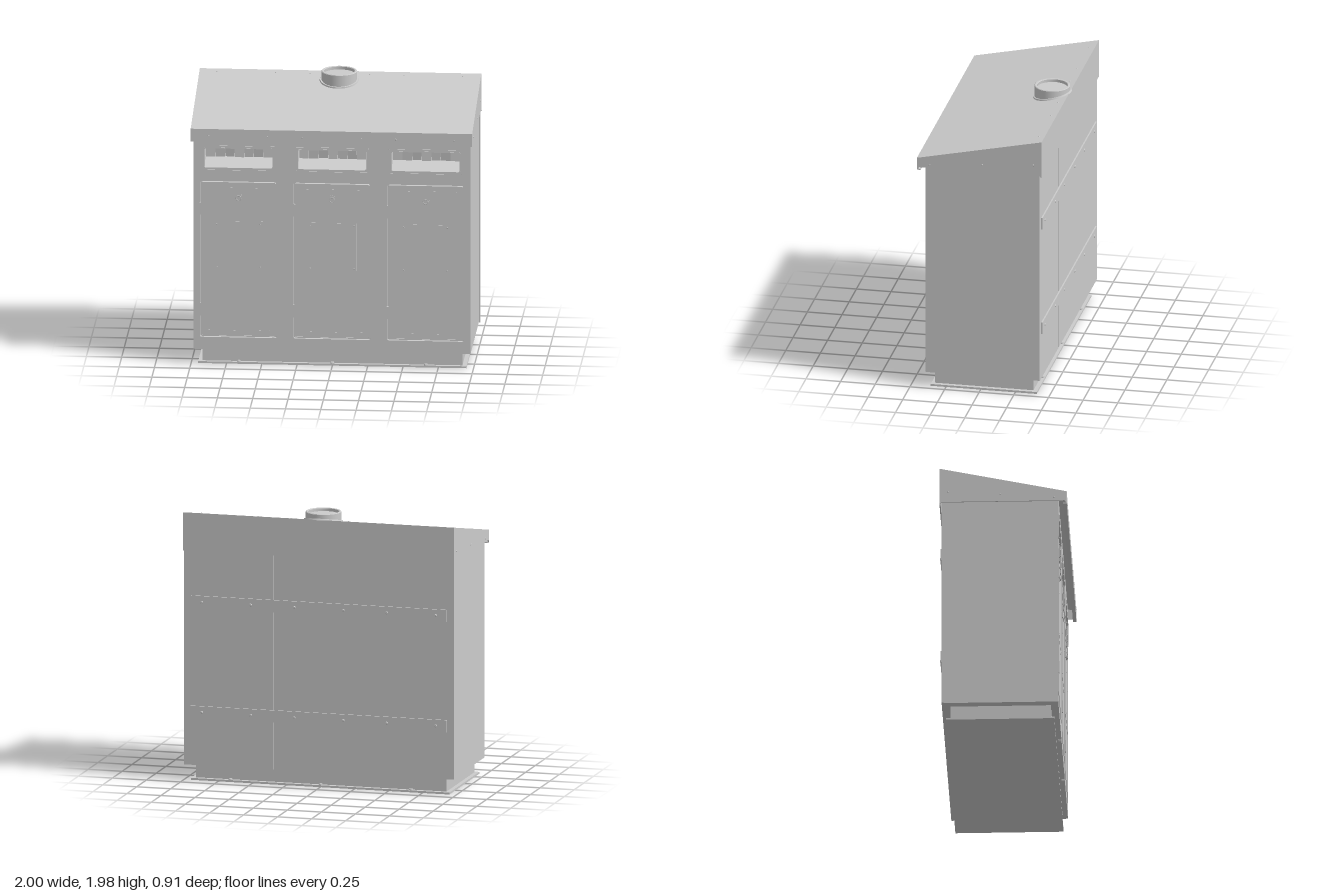
import * as THREE from 'three';

const mat = new THREE.MeshStandardMaterial({ color: 0xcccccc, side: THREE.DoubleSide });

function add(parent, name, geo, x = 0, y = 0, z = 0) {
  const m = new THREE.Mesh(geo, mat);
  m.name = name;
  m.position.set(x, y, z);
  parent.add(m);
  return m;
}

// Box given by its minimum and maximum on each axis
function slab(parent, name, x0, x1, y0, y1, z0, z1) {
  return add(parent, name, new THREE.BoxGeometry(x1 - x0, y1 - y0, z1 - z0),
    (x0 + x1) / 2, (y0 + y1) / 2, (z0 + z1) / 2);
}

// Rounded rectangle outline, also used for holes
function rect(x0, x1, y0, y1, r = 0.012, Type = THREE.Shape) {
  const s = new Type();
  s.moveTo(x0 + r, y0).lineTo(x1 - r, y0).quadraticCurveTo(x1, y0, x1, y0 + r);
  s.lineTo(x1, y1 - r).quadraticCurveTo(x1, y1, x1 - r, y1);
  s.lineTo(x0 + r, y1).quadraticCurveTo(x0, y1, x0, y1 - r);
  s.lineTo(x0, y0 + r).quadraticCurveTo(x0, y0, x0 + r, y0);
  return s;
}

function plate(parent, name, shape, holes, z, depth) {
  shape.holes.push(...holes);
  return add(parent, name, new THREE.ExtrudeGeometry(shape, { depth, bevelEnabled: false, curveSegments: 4 }), 0, 0, z);
}

const ring = (x0, x1, y0, y1, t) => [rect(x0, x1, y0, y1), [rect(x0 + t, x1 - t, y0 + t, y1 - t, 0.008, THREE.Path)]];

// Profile drawn in (z, y) and extruded along x, centred on x = 0
function profile(points, width) {
  const s = new THREE.Shape(points.map(p => new THREE.Vector2(...p)));
  const g = new THREE.ExtrudeGeometry(s, { depth: width, bevelEnabled: false });
  return g.translate(0, 0, -width / 2).rotateY(-Math.PI / 2);
}

// Low domed rivet whose axis points along dir
function rivet(parent, x, y, z, dir, r = 0.008, h = 0.005) {
  const m = add(parent, 'rivet', new THREE.CylinderGeometry(r * 0.6, r, h, 10), x, y, z);
  m.quaternion.setFromUnitVectors(new THREE.Vector3(0, 1, 0), new THREE.Vector3(...dir).normalize());
}

function compartment(cx) {
  const g = new THREE.Group();
  g.name = 'compartment';
  g.position.x = cx;

  // Front sheet with the door and slot openings
  plate(g, 'frontPanel', rect(-0.3175, 0.3175, 0.112, 1.72), [
    rect(-0.272, 0.272, 0.202, 1.348, 0.014, THREE.Path),
    rect(-0.24, 0.24, 1.447, 1.587, 0.01, THREE.Path),
  ], 0.365, 0.025);

  // Door with raised rim and a shallow bead
  plate(g, 'door', rect(-0.265, 0.265, 0.209, 1.341), [], 0.37, 0.019);
  plate(g, 'doorRim', ...ring(-0.265, 0.265, 0.209, 1.341, 0.007), 0.388, 0.005);
  plate(g, 'doorBead', ...ring(-0.225, 0.225, 0.25, 1.3, 0.004), 0.3885, 0.0015);

  // Hinges on the left of the door
  for (const y of [0.405, 1.145]) slab(g, 'hinge', -0.276, -0.258, y - 0.045, y + 0.045, 0.38, 0.397);

  // Round lock
  add(g, 'lockPlate', new THREE.CylinderGeometry(0.032, 0.032, 0.003, 28).rotateX(Math.PI / 2), 0, 1.225, 0.39);
  add(g, 'lockRing', new THREE.TorusGeometry(0.017, 0.003, 8, 24), 0, 1.225, 0.392);
  add(g, 'lockCore', new THREE.CylinderGeometry(0.013, 0.013, 0.004, 20).rotateX(Math.PI / 2), 0, 1.225, 0.392);

  // Sign plate fixed by four rivets
  slab(g, 'signPlate', -0.175, 0.175, 0.705, 1.055, 0.388, 0.391);
  for (const x of [-0.155, 0.155]) for (const y of [0.72, 1.035]) rivet(g, x, y, 0.392, [0, 0, 1], 0.006);

  // Deposit slot: frame, sloping chute and hanging flaps
  plate(g, 'slotFrame', ...ring(-0.262, 0.262, 1.422, 1.608, 0.008), 0.388, 0.006);
  plate(g, 'slotLip', ...ring(-0.246, 0.246, 1.441, 1.593, 0.006), 0.388, 0.004);
  add(g, 'chuteFloor', profile([[0.385, 1.44], [0.385, 1.447], [0.22, 1.507], [0.22, 1.44]], 0.5));
  for (const s of [-1, 1]) slab(g, 'chuteSide', s * 0.246 - 0.004, s * 0.246 + 0.004, 1.44, 1.62, 0.2, 0.37);
  slab(g, 'chuteTop', -0.25, 0.25, 1.6, 1.61, 0.2, 0.37);
  for (let i = 0; i < 7; i++) {
    const flap = slab(g, 'flap', -0.0325, 0.0325, -0.098, 0, -0.002, 0.002);
    flap.geometry.translate(0, -0.049, 0);
    flap.position.set((i - 3) * 0.068, 1.6, 0.3 + (i % 2) * 0.005);
    flap.rotation.x = 0.06 * (i % 3);
  }

  // Rear panel, separated from its neighbours by a fine seam
  slab(g, 'backPanel', -0.3285, 0.3285, 0.115, 1.7, -0.435, -0.42);
  return g;
}

export function createModel() {
  const model = new THREE.Group();
  model.name = 'wasteSortingStation';

  // Base flange, plinth and floor bolts
  slab(model, 'baseFlange', -0.95, 0.95, 0, 0.014, -0.405, 0.36);
  slab(model, 'plinth', -0.92, 0.92, 0.014, 0.12, -0.375, 0.335);
  for (const x of [-0.6625, 0, 0.6625]) for (const z of [0.348, -0.39]) {
    add(model, 'floorBolt', new THREE.CylinderGeometry(0.013, 0.015, 0.01, 6), x, 0.018, z);
  }

  // Cabinet core, stepped back behind the slots
  slab(model, 'cabinetLower', -0.97, 0.97, 0.115, 1.44, -0.425, 0.367);
  slab(model, 'cabinetUpper', -0.97, 0.97, 1.44, 1.7, -0.425, 0.2);
  for (const s of [-1, 1]) {
    slab(model, 'sidePanel', s * 0.975 - 0.006, s * 0.975 + 0.006, 0.115, 1.7, -0.435, 0.388);
    slab(model, 'divider', s * 0.331 - 0.014, s * 0.331 + 0.014, 1.43, 1.7, 0.2, 0.367);
  }
  for (const x of [-0.6625, 0, 0.6625]) model.add(compartment(x));

  // Rear mounting rails
  for (const y of [0.498, 1.293]) {
    slab(model, 'rearRail', -0.94, 0.94, y - 0.044, y + 0.044, -0.445, -0.434);
    for (const x of [-0.86, -0.5, -0.18, 0.18, 0.5, 0.86]) rivet(model, x, y, -0.447, [0, 0, -1], 0.012, 0.008);
  }

  // Folded roof sheet with a return lip, and its gable sides
  const roof = new THREE.Group();
  roof.name = 'roof';
  model.add(roof);
  add(roof, 'roofSheet', profile([
    [0.45, 1.652], [0.45, 1.745], [-0.45, 1.935], [-0.45, 1.66], [-0.442, 1.66], [-0.442, 1.925],
    [0.443, 1.738], [0.443, 1.66], [0.425, 1.66], [0.425, 1.652]], 1.98));
  for (const s of [-1, 1]) {
    add(roof, 'roofSide', profile([
      [0.45, 1.652], [0.45, 1.745], [-0.45, 1.935], [-0.45, 1.66], [-0.435, 1.675], [0.435, 1.675]], 0.009), s * 0.9925);
    for (const [y, z] of [[1.73, -0.02], [1.755, -0.39], [1.7, 0.36]]) rivet(roof, s * 0.998, y, z, [s, 0, 0], 0.008, 0.004);
  }
  for (const x of [-0.87, -0.455, -0.21, 0.21, 0.455, 0.87]) {
    rivet(roof, x, 1.927, -0.405, [0, 0.98, 0.21]);
    rivet(roof, x, 1.695, 0.451, [0, 0, 1], 0.007, 0.004);
  }

  // Vent collar with a recessed cap, and its tilted flange
  const collar = [[0, 1.952], [0.108, 1.952], [0.108, 1.972], [0.112, 1.975], [0.122, 1.975], [0.126, 1.971], [0.126, 1.87]];
  const lathe = [];
  for (let i = 0; i < collar.length - 1; i++) {
    lathe.push(new THREE.LatheGeometry([collar[i + 1], collar[i]].map(p => new THREE.Vector2(...p)), 48));
  }
  lathe.forEach(geo => add(roof, 'ventCollar', geo, 0, 0, -0.32));
  const flange = add(roof, 'ventFlange', new THREE.CylinderGeometry(0.136, 0.14, 0.012, 48), 0, 1.911, -0.32);
  flange.rotation.x = Math.atan(0.19 / 0.9);

  return model;
}
